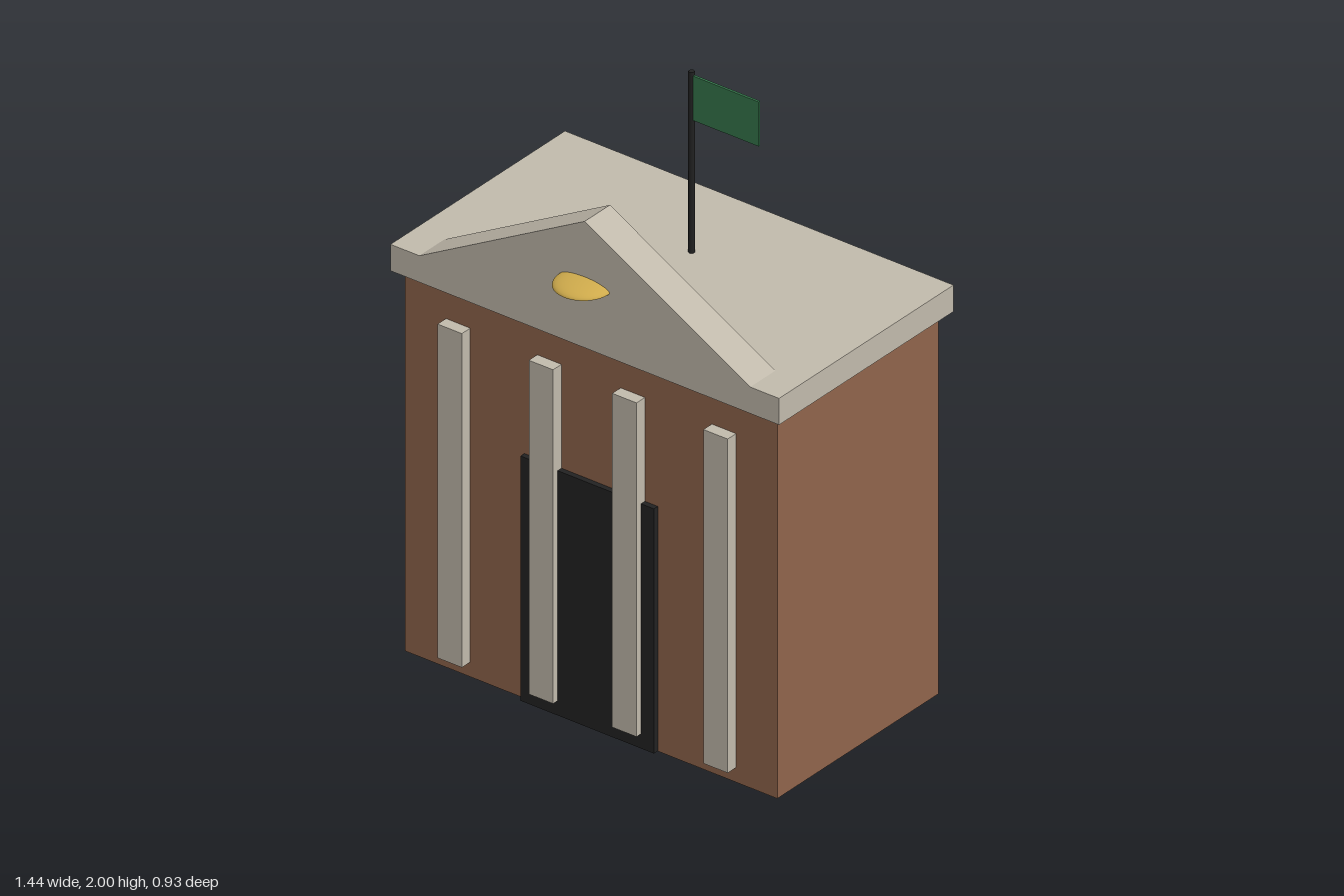
import * as THREE from 'three';

const material = (name, color) => {
  const m = new THREE.MeshStandardMaterial({ color });
  m.name = name;
  return m;
};

export function createModel() {
  const brick = material('brick', 0x8f644b);
  const stone = material('stone', 0xc0b9ab);
  const dark = material('dark', 0x222222);
  const gold = material('gold', 0xcfab4c);
  const green = material('green', 0x35764b);

  const model = new THREE.Group();
  model.name = 'townHall';

  const add = (name, geometry, mat, x = 0, y = 0, z = 0) => {
    const mesh = new THREE.Mesh(geometry, mat);
    mesh.name = name;
    mesh.position.set(x, y, z);
    model.add(mesh);
    return mesh;
  };
  // Box given by its min and max corners
  const box = (name, mat, [x0, y0, z0], [x1, y1, z1]) =>
    add(name, new THREE.BoxGeometry(x1 - x0, y1 - y0, z1 - z0), mat,
      (x0 + x1) / 2, (y0 + y1) / 2, (z0 + z1) / 2);

  // Main block, roof slab and doorway
  box('walls', brick, [-0.692, 0, -0.432], [0.692, 1.295, 0.335]);
  box('roofSlab', stone, [-0.722, 1.295, -0.465], [0.722, 1.385, 0.365]);
  box('door', dark, [-0.248, 0, 0.3], [0.248, 0.832, 0.353]);

  // Four flat columns
  for (const x of [-0.494, -0.155, 0.155, 0.494]) {
    box('column', stone, [x - 0.045, 0.05, 0.285], [x + 0.045, 1.185, 0.375]);
  }

  // Triangular pediment, flush with the front of the slab
  const gable = new THREE.Shape();
  gable.moveTo(-0.615, 0);
  gable.lineTo(0.615, 0);
  gable.lineTo(0, 0.34);
  gable.closePath();
  add('pediment', new THREE.ExtrudeGeometry(gable, { depth: 0.12, bevelEnabled: false }),
    stone, 0, 1.385, 0.245);

  // Shallow golden dome set into the pediment, with a flat underside
  const dome = new THREE.SphereGeometry(0.093, 32, 10, 0, Math.PI * 2, 0, Math.PI / 2);
  dome.scale(1, 0.26, 1);
  add('goldDome', dome, gold, 0, 1.512, 0.371);
  const underside = new THREE.CircleGeometry(0.093, 32);
  underside.rotateX(Math.PI / 2);
  add('goldDomeUnderside', underside, gold, 0, 1.512, 0.371);

  // Flagpole and flag
  add('flagpole', new THREE.CylinderGeometry(0.01, 0.01, 0.615, 6), dark, 0, 1.6925, -0.143);
  box('flag', green, [0.004, 1.837, -0.147], [0.252, 1.988, -0.139]);

  return model;
}
